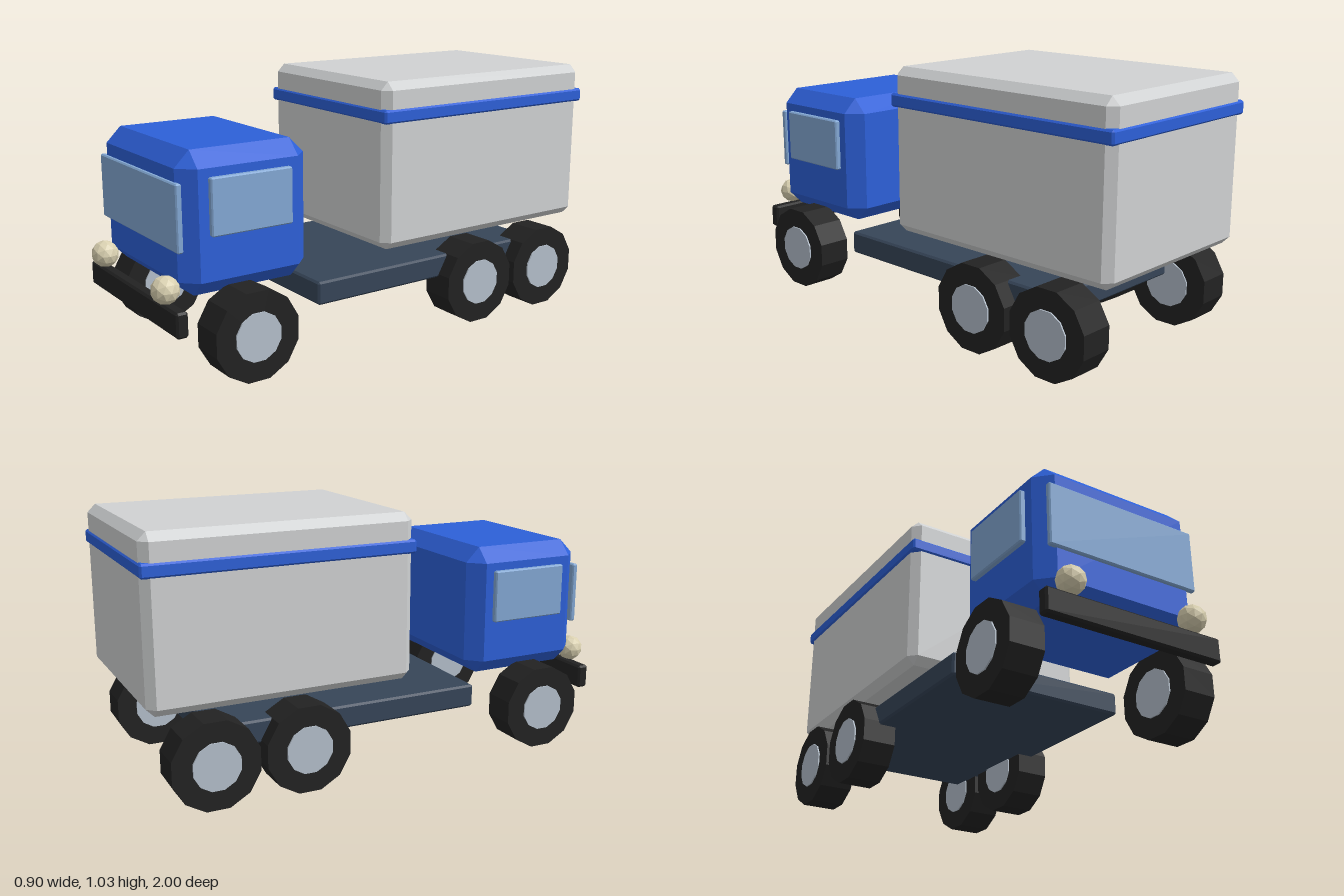
import * as THREE from 'three';
import { ConvexGeometry } from 'three/addons/geometries/ConvexGeometry.js';

const mat = (name, color) => {
  const m = new THREE.MeshStandardMaterial({ color, flatShading: true });
  m.name = name;
  return m;
};

// Box given by its limits, with every edge and corner chamfered by c
function chamferBox([x0, x1], [y0, y1], [z0, z1], c) {
  const half = [(x1 - x0) / 2, (y1 - y0) / 2, (z1 - z0) / 2];
  const points = [];
  for (const sx of [-1, 1]) for (const sy of [-1, 1]) for (const sz of [-1, 1]) {
    for (let axis = 0; axis < 3; axis++) {
      const p = half.map((h, i) => (i === axis ? h : h - c));
      points.push(new THREE.Vector3(sx * p[0], sy * p[1], sz * p[2]));
    }
  }
  const g = new ConvexGeometry(points);
  g.translate((x0 + x1) / 2, (y0 + y1) / 2, (z0 + z1) / 2);
  return g;
}

// Twelve-sided drum lying along x, with a flat face at the bottom
function drum(apothem, width) {
  const g = new THREE.CylinderGeometry(1, 1, width, 12);
  const r = apothem / Math.cos(Math.PI / 12);
  g.scale(r, 1, r);
  g.rotateY(Math.PI / 12);
  g.rotateZ(Math.PI / 2);
  return g;
}

export function createModel() {
  const truck = new THREE.Group();
  truck.name = 'truck';

  const blue = mat('blue paint', 0x2d60d8);
  const grey = mat('cargo grey', 0xd0d2d3);
  const glass = mat('window glass', 0x83a8d4);
  const frame = mat('frame slate', 0x364558);
  const rubber = mat('black rubber', 0x222222);
  const metal = mat('hub metal', 0xb4bfcb);
  const lamp = mat('lamp cream', 0xd9d0b0);

  const add = (name, geometry, material, parent = truck) => {
    const mesh = new THREE.Mesh(geometry, material);
    mesh.name = name;
    parent.add(mesh);
    return mesh;
  };

  // Body
  add('chassis', chamferBox([-0.38, 0.38], [0.203, 0.295], [-0.75, 0.372], 0.008), frame);
  add('cab', chamferBox([-0.35, 0.35], [0.316, 0.848], [0.38, 0.91], 0.06), blue);
  add('cargoBox', chamferBox([-0.4, 0.4], [0.367, 1.03], [-0.99, 0.075], 0.032), grey);
  add('cargoStripe', chamferBox([-0.407, 0.407], [0.872, 0.926], [-0.996, 0.081], 0.008), blue);
  add('bumper', chamferBox([-0.38, 0.38], [0.2, 0.297], [0.918, 0.965], 0.008), rubber);

  // Windows
  add('windshield', chamferBox([-0.325, 0.325], [0.49, 0.74], [0.9, 0.924], 0.005), glass);

  // Parts mirrored on both sides
  for (const side of [1, -1]) {
    const label = side > 0 ? 'left' : 'right';
    const x = [0.345, 0.371].map((v) => v * side).sort((a, b) => a - b);
    add(label + 'Window', chamferBox(x, [0.543, 0.756], [0.476, 0.81], 0.005), glass);

    add(label + 'Headlight', new THREE.IcosahedronGeometry(0.054, 1), lamp)
      .position.set(0.267 * side, 0.351, 0.95);

    // Wheels, with hubs showing on both faces
    [['Front', 0.677], ['Middle', -0.393], ['Rear', -0.76]].forEach(([place, z]) => {
      const wheel = new THREE.Group();
      wheel.name = label + place + 'Wheel';
      wheel.position.set(0.375 * side, 0.17, z);
      add('tyre', drum(0.17, 0.14), rubber, wheel);
      add('hub', drum(0.092, 0.152), metal, wheel);
      truck.add(wheel);
    });
  }
  return truck;
}
